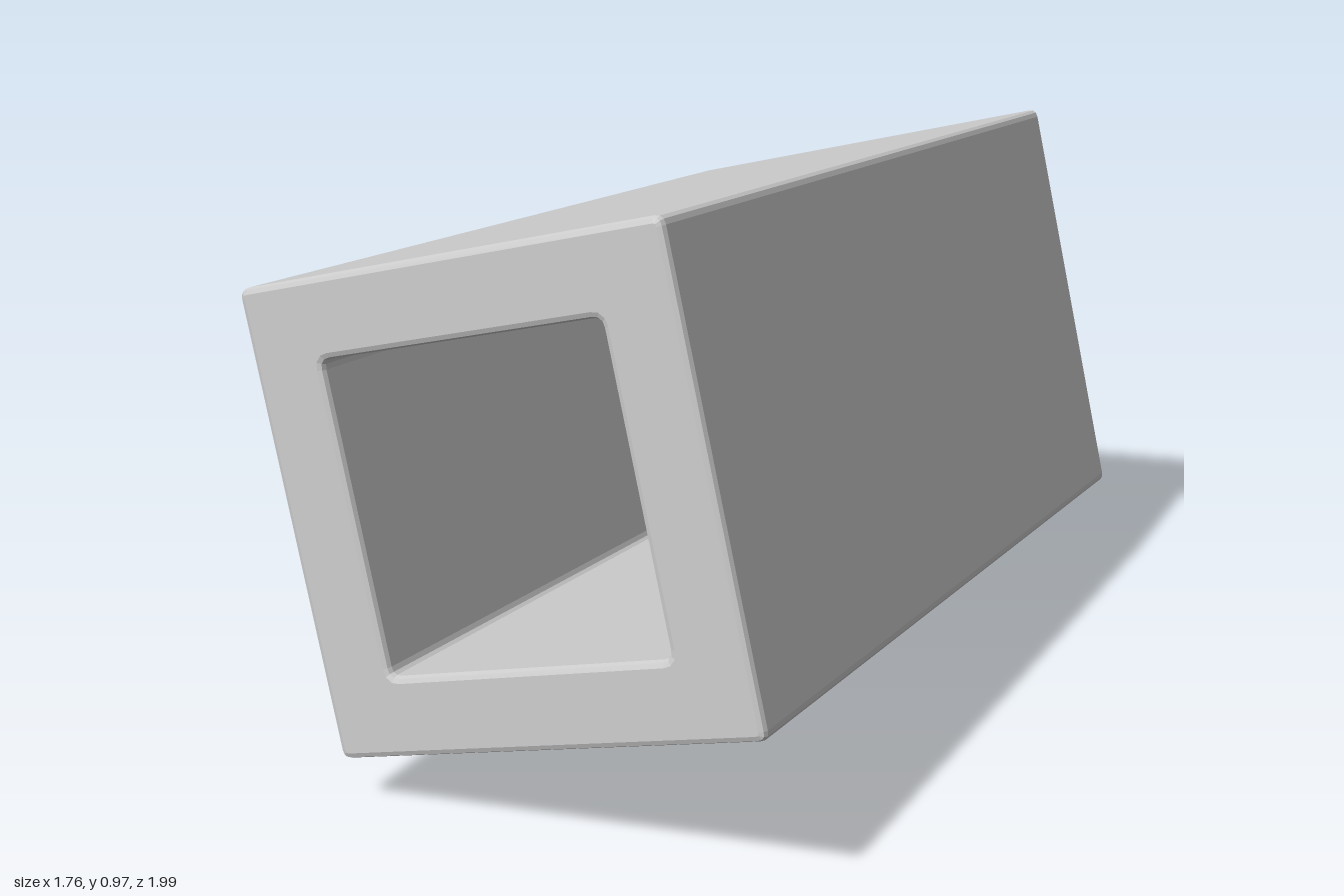
import * as THREE from 'three';

// Square outline with slightly rounded corners
function roundedSquare(PathType, size, r) {
  const h = size / 2, p = new PathType();
  p.moveTo(-h + r, -h);
  p.lineTo(h - r, -h);
  p.quadraticCurveTo(h, -h, h, -h + r);
  p.lineTo(h, h - r);
  p.quadraticCurveTo(h, h, h - r, h);
  p.lineTo(-h + r, h);
  p.quadraticCurveTo(-h, h, -h, h - r);
  p.lineTo(-h, -h + r);
  p.quadraticCurveTo(-h, -h, -h + r, -h);
  return p;
}

export function createModel() {
  const grey = new THREE.MeshStandardMaterial({ color: 0xcccccc });
  grey.name = 'light grey';
  const length = 1.55, side = 0.74, hole = 0.49, bevel = 0.01;

  // Square tube, open from end to end along its local x axis
  const profile = roundedSquare(THREE.Shape, side, 0.015);
  profile.holes.push(roundedSquare(THREE.Path, hole, 0.015));
  const tubeGeometry = new THREE.ExtrudeGeometry(profile, {
    depth: length - 2 * bevel, curveSegments: 3,
    bevelEnabled: true, bevelSize: bevel, bevelThickness: bevel,
    bevelOffset: -bevel, bevelSegments: 2,
  });
  tubeGeometry.translate(0, 0, -length / 2 + bevel);
  tubeGeometry.rotateY(Math.PI / 2);
  const tube = new THREE.Mesh(tubeGeometry, grey);
  tube.name = 'squareTube';

  // Faceted round handle with a softened rim, sunk into the rear wall
  const r = 0.2, start = 0.3, end = 1.11;
  const points = [[0, start], [r, start], [r, end - 0.018], [r - 0.005, end - 0.005],
    [r - 0.018, end], [0, end]].map(([x, y]) => new THREE.Vector2(x, y));
  const handleGeometry = new THREE.LatheGeometry(points, 16, Math.PI / 16).toNonIndexed();
  handleGeometry.computeVertexNormals();
  handleGeometry.rotateX(-Math.PI / 2);
  handleGeometry.translate(length / 4, 0, 0);
  const handle = new THREE.Mesh(handleGeometry, grey);
  handle.name = 'handle';

  // Tilt the whole piece: local axes run along the tube, up its side and out of its front
  const along = new THREE.Vector3(0.874, -0.048, -0.484).normalize();
  const front = new THREE.Vector3().crossVectors(along, new THREE.Vector3(-0.074, 0.967, -0.244)).normalize();
  const up = new THREE.Vector3().crossVectors(front, along);
  const body = new THREE.Group();
  body.name = 'hammerBody';
  body.add(tube, handle);
  body.quaternion.setFromRotationMatrix(new THREE.Matrix4().makeBasis(along, up, front));
  body.position.set(0, 0.495, 0.225);

  const model = new THREE.Group();
  model.name = 'tubeWithHandle';
  model.add(body);
  return model;
}
